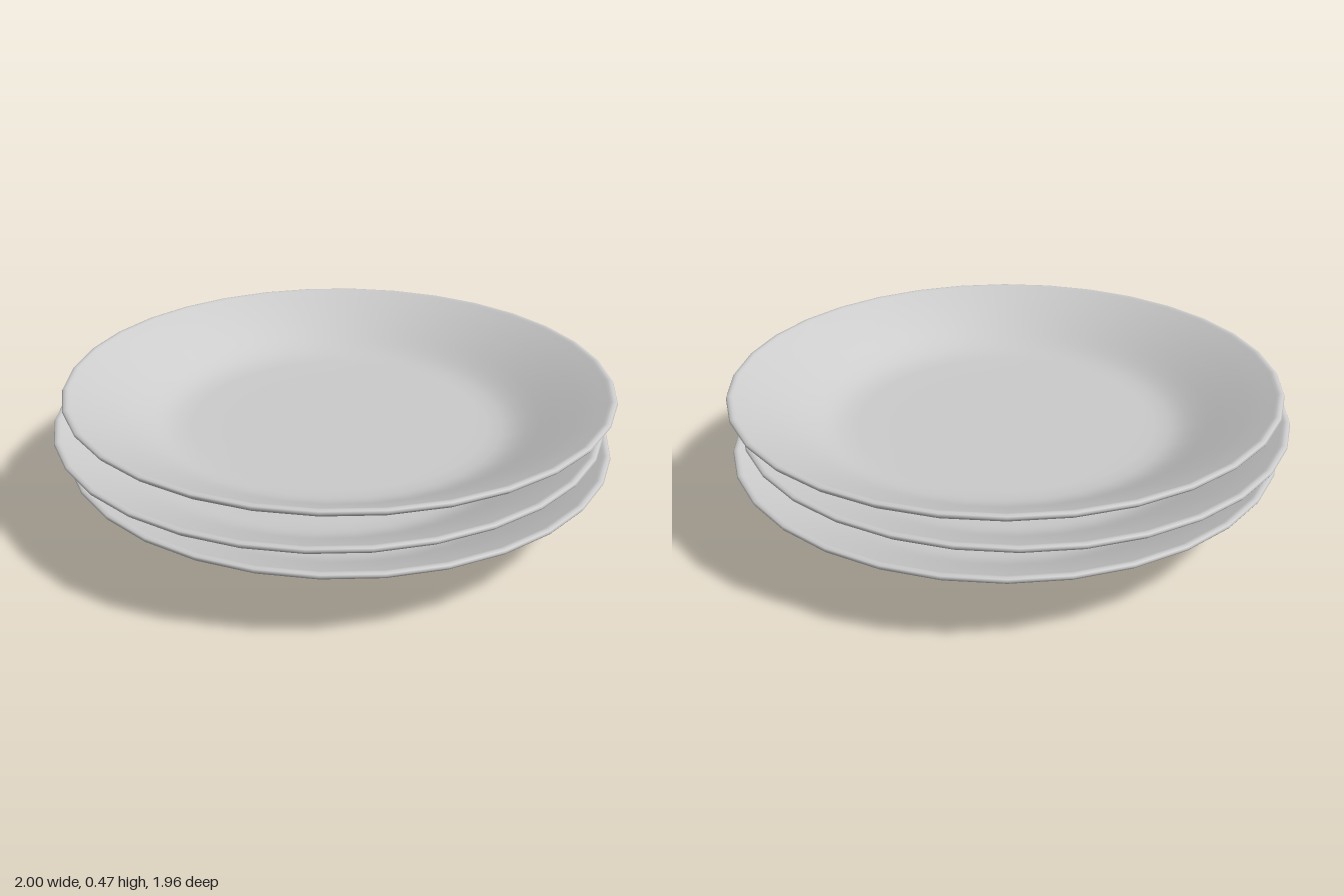
import * as THREE from 'three';

// Smooth curve through a few [radius, height] points
const curve = (pts, n) =>
  new THREE.SplineCurve(pts.map(([r, y]) => new THREE.Vector2(r, y))).getPoints(n);

export function createModel() {
  const group = new THREE.Group();
  const material = new THREE.MeshStandardMaterial({ color: 0xcccccc });

  // Closed plate section, from the underside centre round the rim to the upper centre
  const foot = [[0, 0.017], [0.41, 0.017], [0.44, 0.004], [0.45, 0], [0.46, 0.001], [0.468, 0.015], [0.473, 0.032]]
    .map(([r, y]) => new THREE.Vector2(r, y));
  const underside = curve([[0.48, 0.034], [0.56, 0.042], [0.64, 0.066], [0.79, 0.137], [0.9, 0.197], [0.957, 0.23]], 12);
  const rim = [[0.966, 0.232], [0.976, 0.24], [0.98, 0.247], [0.976, 0.253], [0.966, 0.255], [0.958, 0.253]]
    .map(([r, y]) => new THREE.Vector2(r, y));
  const well = curve([[0.95, 0.249], [0.88, 0.215], [0.78, 0.162], [0.68, 0.108], [0.61, 0.083], [0.54, 0.076]], 12);
  const floor = [new THREE.Vector2(0.4, 0.074), new THREE.Vector2(0, 0.074)];
  const geometry = new THREE.LatheGeometry([...foot, ...underside, ...rim, ...well, ...floor], 32);

  // Stack of plates, the middle one shifted sideways
  const stack = [['bottomPlate', 0.02, 0], ['middlePlate', -0.02, 0.095], ['topPlate', 0.02, 0.21]];
  for (const [name, x, y] of stack) {
    const plate = new THREE.Mesh(geometry, material);
    plate.name = name;
    plate.position.set(x, y, 0);
    group.add(plate);
  }
  return group;
}
